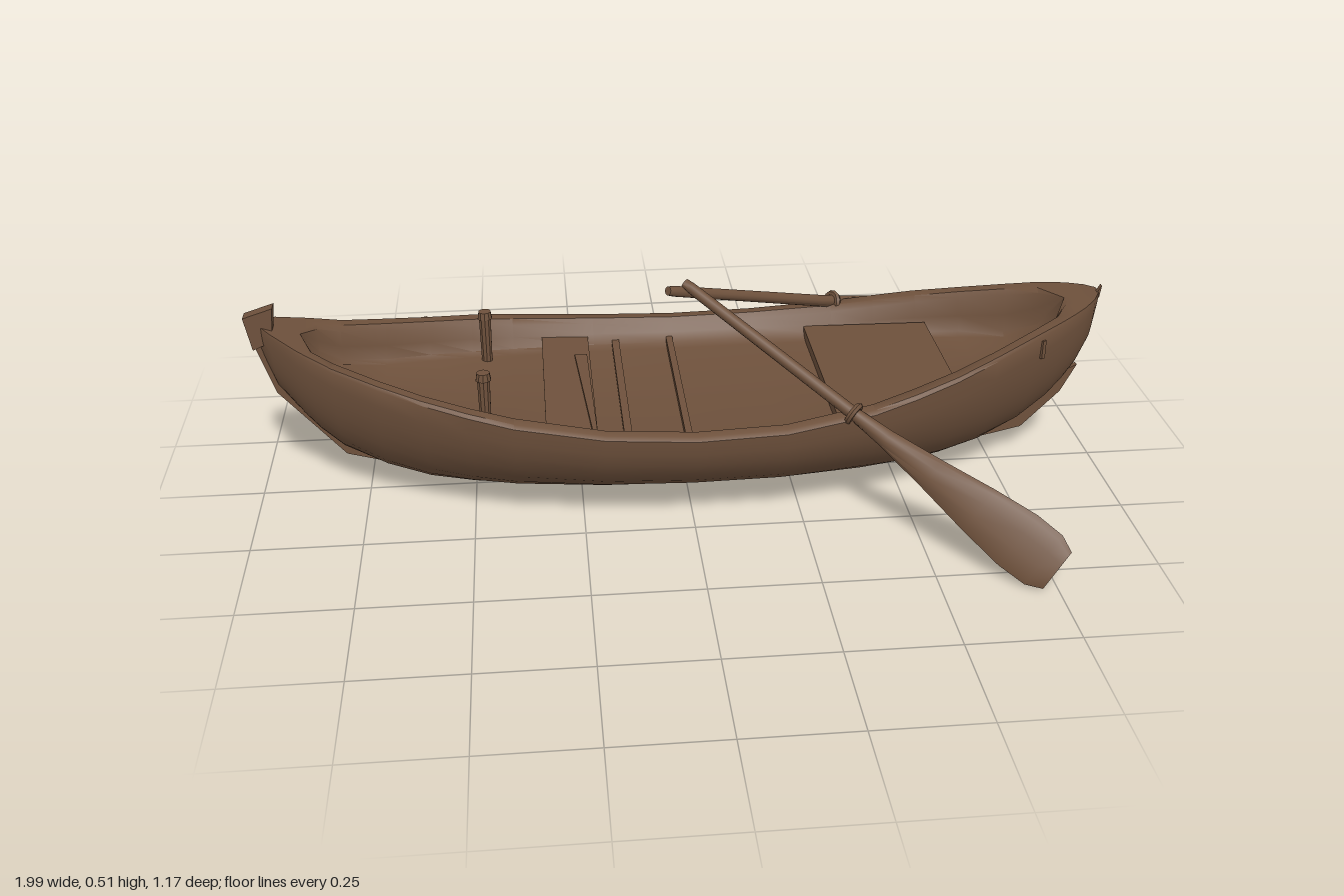
import * as THREE from 'three';
import { toCreasedNormals } from 'three/addons/utils/BufferGeometryUtils.js';

const wood = new THREE.MeshStandardMaterial({ color: 0x6e513c, side: THREE.DoubleSide });
wood.name = 'brown wood';
const CZ = -0.037; // centreline of the hull

function add(parent, name, geometry, crease = 0.5) {
  const mesh = new THREE.Mesh(toCreasedNormals(geometry, crease), wood);
  mesh.name = name;
  parent.add(mesh);
  return mesh;
}

// Skin over equal-length closed rings of points, with flat caps
function loft(rings) {
  const n = rings[0].length, pos = [], idx = [];
  rings.forEach(r => r.forEach(p => pos.push(p.x, p.y, p.z)));
  for (let i = 0; i < rings.length - 1; i++)
    for (let j = 0; j < n; j++) {
      const a = i * n + j, b = i * n + (j + 1) % n;
      idx.push(a, b, a + n, b, b + n, a + n);
    }
  const last = (rings.length - 1) * n;
  for (let j = 1; j < n - 1; j++) idx.push(0, j + 1, j, last, last + j, last + j + 1);
  const g = new THREE.BufferGeometry();
  g.setAttribute('position', new THREE.Float32BufferAttribute(pos, 3));
  g.setIndex(idx);
  return g;
}

// Stations along the hull: x, rim height, half width, underside height
const stations = [
  [-0.975, 0.43, 0.015, 0.37], [-0.94, 0.418, 0.05, 0.27], [-0.88, 0.394, 0.092, 0.19],
  [-0.85, 0.383, 0.109, 0.155], [-0.8, 0.365, 0.135, 0.11], [-0.7, 0.342, 0.185, 0.062],
  [-0.6, 0.322, 0.23, 0.036], [-0.5, 0.306, 0.27, 0.028], [-0.4, 0.29, 0.3, 0.025],
  [-0.2, 0.267, 0.33, 0.024], [0, 0.258, 0.338, 0.024], [0.2, 0.264, 0.334, 0.024],
  [0.4, 0.288, 0.307, 0.026], [0.5, 0.309, 0.282, 0.028], [0.6, 0.332, 0.25, 0.036],
  [0.7, 0.356, 0.205, 0.057], [0.8, 0.381, 0.156, 0.1], [0.87, 0.398, 0.121, 0.152],
  [0.91, 0.407, 0.097, 0.195], [0.94, 0.413, 0.075, 0.235], [0.97, 0.42, 0.045, 0.295],
  [0.988, 0.425, 0.014, 0.38]
];
const floorY = x => 0.203 + 0.1 * x * x;

function hullRing([x, rim, w, low]) {
  const ring = [], put = (z, y) => ring.push(new THREE.Vector3(x, y, CZ + z));
  // round outer skin
  for (let i = 0; i <= 20; i++) {
    const a = -Math.PI / 2 + Math.PI * i / 20;
    put(w * Math.sin(a), rim - 0.008 - (rim - 0.008 - low) * Math.cos(a));
  }
  // gunwale, inner wall and floor; the well has rounded ends
  const toEnd = Math.max(0, x < 0 ? x + 0.88 : 0.91 - x);
  const inner = Math.min(Math.max(0, w - 0.045), 0.36 * Math.sqrt(toEnd));
  const k = Math.min(1, inner / 0.1);
  const depth = (rim - floorY(x)) * k;
  const half = [[w * 0.97, 0], [inner + (w - inner) * 0.25, 0], [inner, 0.012 * k],
    [inner * 0.95, depth * 0.55], [inner * 0.89, depth * 0.9], [inner * 0.8, depth]];
  half.forEach(([z, d]) => put(z, rim - d));
  put(0, rim - depth);
  half.reverse().forEach(([z, d]) => put(-z, rim - d));
  return ring;
}

// Plank across the boat: ends x0/x1 have own half widths and top heights
function plank(parent, name, x0, x1, h0, h1, y0, y1, t) {
  const g = new THREE.BoxGeometry(1, 1, 1), p = g.attributes.position;
  for (let i = 0; i < p.count; i++) {
    const end = p.getX(i) > 0, top = end ? y1 : y0;
    p.setXYZ(i, end ? x1 : x0, p.getY(i) > 0 ? top : top - t,
      CZ + p.getZ(i) * 2 * (end ? h1 : h0));
  }
  return add(parent, name, g.toNonIndexed());
}

// Plate on the centreline cut to a side outline
function centrePlate(parent, name, points, width) {
  const shape = new THREE.Shape(points.map(([x, y]) => new THREE.Vector2(x, y)));
  const g = new THREE.ExtrudeGeometry(shape, { depth: width, bevelEnabled: false });
  g.translate(0, 0, CZ + 0.008 - width / 2);
  return add(parent, name, g);
}

// Oar from grip to blade tip, resting on the rim at fraction rest,
// with a vector giving the blade's width direction
function oar(parent, name, grip, tip, wide, rest) {
  const d = tip.clone().sub(grip).normalize();
  const u = wide.clone().addScaledVector(d, -wide.dot(d)).normalize();
  const v = new THREE.Vector3().crossVectors(d, u);
  // position along the oar, half width, half thickness
  const rings = [[0, 0.011, 0.011], [0.02, 0.013, 0.013], [0.47, 0.015, 0.015], [0.56, 0.022, 0.015],
    [0.68, 0.038, 0.013], [0.8, 0.057, 0.012], [0.9, 0.069, 0.011], [0.965, 0.067, 0.01], [1, 0.05, 0.009]]
    .map(([s, a, b]) => Array.from({ length: 10 }, (_, i) => {
      const t = i / 10 * Math.PI * 2;
      return grip.clone().lerp(tip, s).addScaledVector(u, a * Math.cos(t)).addScaledVector(v, b * Math.sin(t));
    }));
  add(parent, name, loft(rings), 0.8);
  // ring and pin holding the oar to the rim
  const lock = new THREE.Group();
  lock.name = name + 'Lock';
  lock.position.copy(grip).lerp(tip, rest);
  const ring = add(lock, 'lockRing', new THREE.TorusGeometry(0.021, 0.008, 6, 12), 1);
  ring.quaternion.setFromUnitVectors(new THREE.Vector3(0, 0, 1), d);
  const pin = add(lock, 'lockPin', new THREE.CylinderGeometry(0.008, 0.008, 0.03, 8));
  pin.position.y = -0.028;
  parent.add(lock);
}

export function createModel() {
  const boat = new THREE.Group();
  boat.name = 'rowingBoat';
  add(boat, 'hull', loft(stations.map(hullRing)), 0.75);

  // keel, end posts, post head and small tip
  centrePlate(boat, 'keel', [[-0.62, 0.028], [-0.53, 0.008], [-0.45, 0], [0.5, 0],
    [0.58, 0.006], [0.64, 0.035], [0.5, 0.045], [-0.5, 0.045]], 0.04);
  centrePlate(boat, 'tallStem', [[-0.985, 0.38], [-0.945, 0.255], [-0.8, 0.085], [-0.55, 0.015],
    [-0.55, 0.04], [-0.7, 0.08], [-0.84, 0.18], [-0.92, 0.3], [-0.94, 0.4]], 0.016);
  const head = centrePlate(boat, 'stemHead',
    [[-1, 0.45], [-0.985, 0.37], [-0.94, 0.39], [-0.932, 0.472]], 0.032);
  head.position.z = 0.004;
  centrePlate(boat, 'lowStem', [[0.955, 0.235], [0.92, 0.165], [0.83, 0.072],
    [0.6, 0.02], [0.6, 0.04], [0.74, 0.1], [0.88, 0.2]], 0.014);
  centrePlate(boat, 'endTip', [[0.975, 0.41], [0.99, 0.41], [0.994, 0.44]], 0.012);

  // seats and cross strips
  plank(boat, 'mainSeat', -0.33, -0.215, 0.25, 0.262, 0.242, 0.232, 0.035);
  plank(boat, 'rearSeat', 0.33, 0.62, 0.255, 0.17, 0.24, 0.277, 0.035);
  plank(boat, 'crossStripA', -0.155, -0.137, 0.275, 0.275, 0.22, 0.22, 0.03);
  plank(boat, 'crossStripB', -0.018, -0.002, 0.28, 0.28, 0.22, 0.22, 0.03);

  // tapered wedge lying on the main seat
  const wedge = new THREE.Shape();
  wedge.moveTo(-0.252, 0.18);
  wedge.lineTo(-0.222, 0.18);
  wedge.lineTo(-0.216, -0.22);
  wedge.lineTo(-0.226, -0.22);
  const wedgeGeo = new THREE.ExtrudeGeometry(wedge, { depth: 0.012, bevelEnabled: false });
  wedgeGeo.rotateX(-Math.PI / 2);
  wedgeGeo.translate(0, 0.23, 0);
  add(boat, 'seatWedge', wedgeGeo);

  // mooring posts
  for (const side of [-1, 1]) {
    const post = add(boat, 'mooringPost', new THREE.CylinderGeometry(0.015, 0.013, 0.14, 10));
    post.position.set(-0.465, 0.28, CZ - 0.007 + side * 0.165);
    const cap = add(boat, 'postCap', new THREE.CylinderGeometry(0.015, 0.018, 0.018, 10));
    cap.position.set(-0.465, 0.345, post.position.z);
  }

  // small cleats on the outside of the rim
  for (const [x, y, z, turn] of [[0.82, 0.345, 0.107, 0.5], [-0.61, 0.297, -0.263, 0.45]]) {
    const cleat = add(boat, 'rimCleat', new THREE.BoxGeometry(0.01, 0.045, 0.012));
    cleat.position.set(x, y, z);
    cleat.rotation.y = turn;
  }

  // oars
  const V = (x, y, z) => new THREE.Vector3(x, y, z);
  oar(boat, 'leftFrontOar', V(0, 0.498, -0.004), V(0.745, 0.045, 0.57), V(0.08, 0.1, -0.02), 0.47);
  oar(boat, 'leftBackOar', V(-0.033, 0.452, -0.067), V(0.83, 0.135, -0.572), V(0.07, 0.115, 0.053), 0.51);
  return boat;
}
